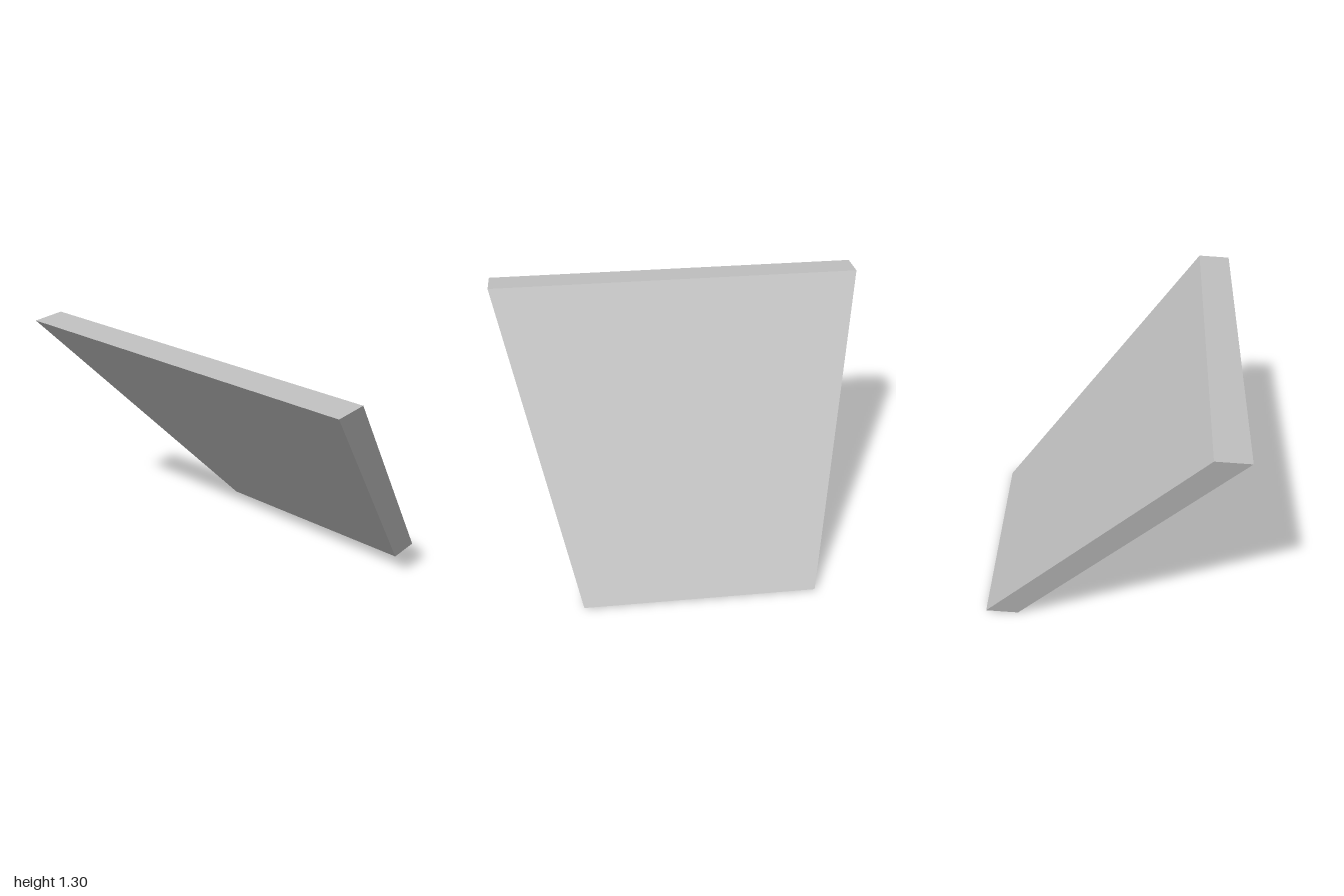
import * as THREE from 'three';

const HEIGHT = 1.295;      // height of the front face
const LEAN = 1.104;        // how far the top leans forward
const THICK = 0.167;       // thickness along z
const RISE = 0.01;         // rise from front to back
const RECESS = 0.3;        // recess depth as a fraction of the thickness
const PITCH = 0.2337;      // spacing of the hexagons

// Trapezoid outline, wider at the top
function panelShape() {
  const s = new THREE.Shape();
  s.moveTo(-0.6, 0);
  s.lineTo(0.6, 0);
  s.lineTo(1, HEIGHT);
  s.lineTo(-1, HEIGHT);
  s.closePath();
  return s;
}

// Hexagon with points to the left and right
function hexagon(cx, cy) {
  const p = new THREE.Path();
  const pts = [[-0.078, 0], [-0.04, 0.078], [0.04, 0.078], [0.078, 0], [0.04, -0.078], [-0.04, -0.078]];
  p.setFromPoints(pts.map(([x, y]) => new THREE.Vector2(cx + x, cy + y)));
  p.closePath();
  return p;
}

// Upright layer from z = from to z = to (0 back, 1 front), sheared into the lean
function layer(shape, from, to) {
  const g = new THREE.ExtrudeGeometry(shape, { depth: to - from, bevelEnabled: false });
  g.translate(0, 0, from);
  g.applyMatrix4(new THREE.Matrix4().set(
    1, 0, 0, 0,
    0, 1, -RISE, RISE,
    0, LEAN / HEIGHT, THICK, -0.468 - THICK,
    0, 0, 0, 1
  ));
  return g;
}

export function createModel() {
  const group = new THREE.Group();
  group.name = 'leaningPanel';
  const grey = new THREE.MeshStandardMaterial({ color: 0xc0c0c0 });
  grey.name = 'grey';

  // Front layer pierced by staggered rows of hexagons, listed from the top
  const front = panelShape();
  [7, 6, 5, 4, 5].forEach((count, row) => {
    for (let i = 0; i < count; i++) {
      front.holes.push(hexagon((i - (count - 1) / 2) * PITCH, 1.117 - row * 0.2343));
    }
  });
  const face = new THREE.Mesh(layer(front, 1 - RECESS, 1), grey);
  face.name = 'perforatedFace';

  // Solid layer behind, which closes the recesses
  const back = new THREE.Mesh(layer(panelShape(), 0, 1 - RECESS), grey);
  back.name = 'backPanel';

  group.add(face, back);
  return group;
}
